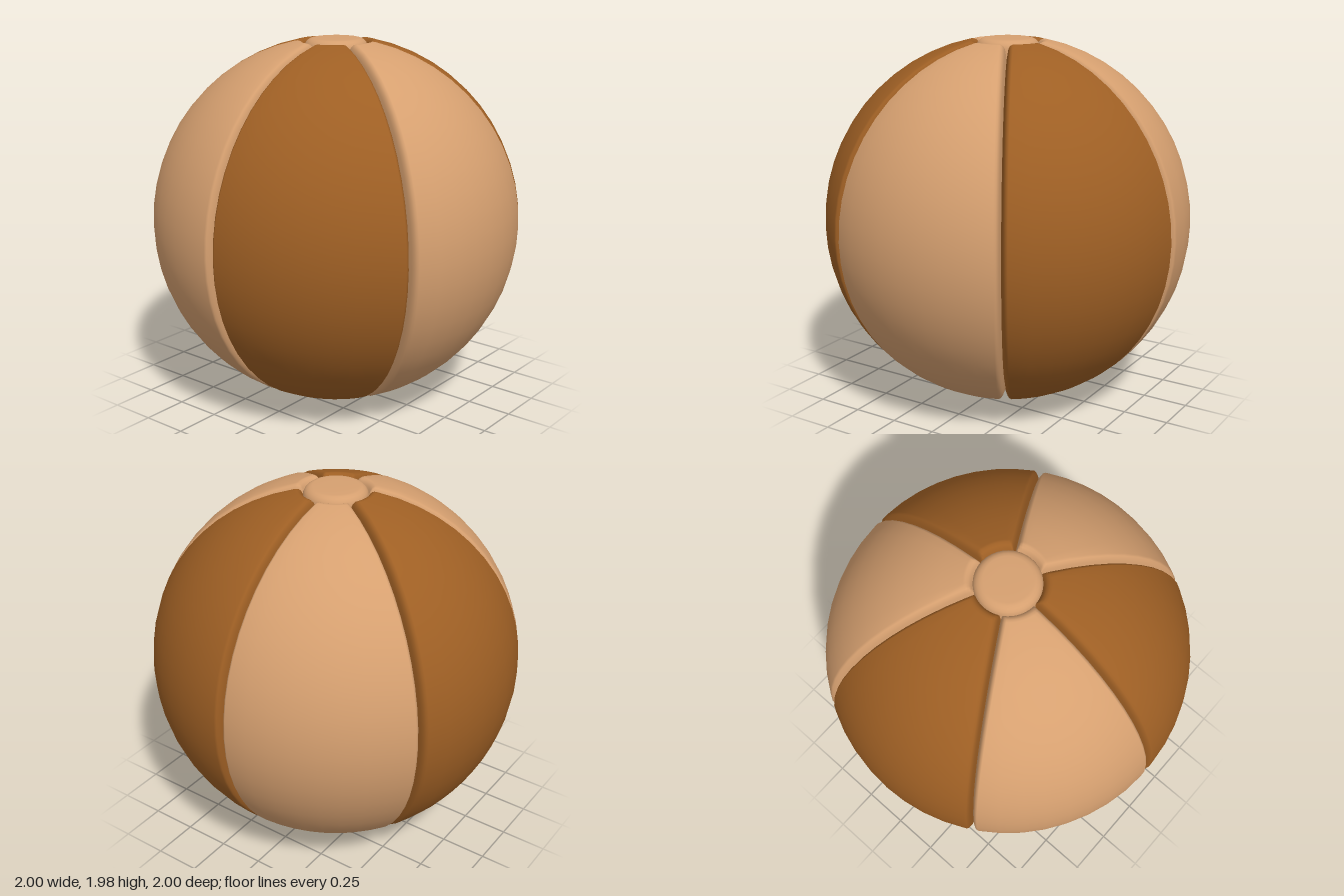
import * as THREE from 'three';

const RADIUS = 1;
const CENTRE_Y = 0.992;

// Rounded edge of a panel: [distance from the seam, depth below the surface]
const EDGE = [[0, 0.085], [0.005, 0.06], [0.009, 0.035], [0.015, 0.018], [0.023, 0.006], [0.034, 0]];
// Rounded end of a panel beside a cap: [distance from the axis, depth]
const END = [[0.168, 0.085], [0.175, 0.05], [0.181, 0.025], [0.19, 0.01], [0.202, 0.002], [0.215, 0]];

// One sixth of the ball, with seams of constant width on both sides
function panelGeometry(middle) {
  const columns = 8, rows = 24;
  const start = Math.asin(END[END.length - 1][0]);

  const lines = END.map(([ring, depth]) => ({ theta: Math.asin(ring), depth }));
  for (let i = 1; i < rows; i++) {
    lines.push({ theta: start + (Math.PI - 2 * start) * i / rows, depth: 0 });
  }
  for (const [ring, depth] of [...END].reverse()) {
    lines.push({ theta: Math.PI - Math.asin(ring), depth });
  }

  const positions = [], indices = [];
  let width = 0;
  for (const { theta, depth } of lines) {
    const ring = Math.sin(theta);
    const half = Math.PI / 6;
    const across = EDGE.map(([d, dep]) => [Math.asin(d / ring) - half, dep]);
    const inner = across[across.length - 1][0];
    for (let j = 1; j < columns; j++) across.push([inner * (1 - 2 * j / columns), 0]);
    for (const [d, dep] of [...EDGE].reverse()) across.push([half - Math.asin(d / ring), dep]);
    width = across.length;
    for (const [angle, dep] of across) {
      const r = RADIUS - Math.max(depth, dep);
      const a = middle + angle;
      positions.push(r * ring * Math.sin(a), r * Math.cos(theta), r * ring * Math.cos(a));
    }
  }
  for (let i = 0; i < lines.length - 1; i++) {
    for (let j = 0; j < width - 1; j++) {
      const a = i * width + j, b = a + width;
      indices.push(a, b, b + 1, a, b + 1, a + 1);
    }
  }
  const geometry = new THREE.BufferGeometry();
  geometry.setAttribute('position', new THREE.Float32BufferAttribute(positions, 3));
  geometry.setIndex(indices);
  geometry.computeVertexNormals();
  return geometry;
}

export function createModel() {
  const ball = new THREE.Group();
  ball.name = 'beachBall';
  const tan = new THREE.MeshStandardMaterial({ name: 'tan', color: 0xd6a070 });
  const brown = new THREE.MeshStandardMaterial({ name: 'brown', color: 0x9e5f24 });

  // Six panels in alternating colours
  for (let k = 0; k < 6; k++) {
    const panel = new THREE.Mesh(panelGeometry(Math.PI / 6 + k * Math.PI / 3), k % 2 ? tan : brown);
    panel.name = `panel${k + 1}`;
    panel.position.y = CENTRE_Y;
    ball.add(panel);
  }

  // Round button caps at both poles
  const profile = [[0.175, 0.88], [0.17, 0.93], [0.168, 0.952], [0.161, 0.968], [0.15, 0.98],
    [0.136, 0.988], [0.12, 0.991], [0.06, 0.992], [0, 0.992]];
  const capGeometry = new THREE.LatheGeometry(profile.map(([x, y]) => new THREE.Vector2(x, y)), 36);
  for (const [name, turn] of [['topCap', 0], ['bottomCap', Math.PI]]) {
    const cap = new THREE.Mesh(capGeometry, tan);
    cap.name = name;
    cap.rotation.x = turn;
    cap.position.y = CENTRE_Y;
    ball.add(cap);
  }
  return ball;
}
